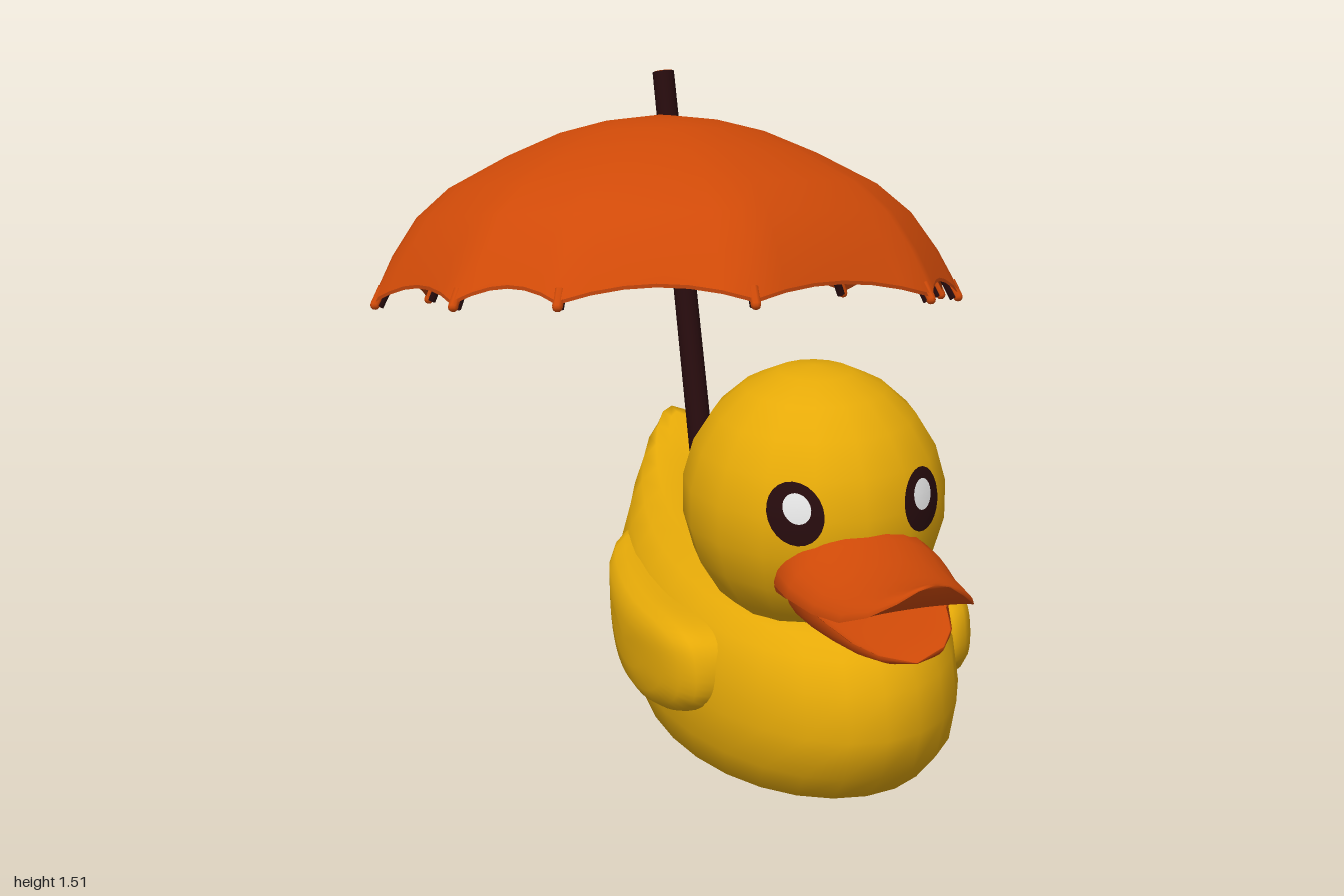
import * as THREE from 'three';
import { mergeVertices } from 'three/addons/utils/BufferGeometryUtils.js';

const V = (x, y, z) => new THREE.Vector3(x, y, z);

const mat = (name, color, side = THREE.FrontSide) => {
  const m = new THREE.MeshStandardMaterial({ color, side });
  m.name = name;
  return m;
};

// Smooth skin over rows of points; each row is a closed loop
function skin(rows) {
  const n = rows[0].length, index = [];
  for (let i = 0; i < rows.length - 1; i++) {
    for (let j = 0; j < n; j++) {
      const a = i * n + j, b = i * n + (j + 1) % n, c = a + n, d = b + n;
      index.push(a, b, d, a, d, c);
    }
  }
  let g = new THREE.BufferGeometry().setFromPoints(rows.flat());
  g.setIndex(index);
  g = mergeVertices(g, 1e-5);
  g.computeVertexNormals();
  return g;
}

export function createModel() {
  const yellow = mat('duck yellow', 0xe6aa08, THREE.DoubleSide);
  const orange = mat('orange', 0xd04a08, THREE.DoubleSide);
  const rust = mat('shaded rust', 0xaa3c0a, THREE.DoubleSide);
  const dark = mat('dark brown', 0x260b0d, THREE.DoubleSide);
  const white = mat('eye white', 0xf2f2f2);
  const model = new THREE.Group();
  const add = (name, geometry, material, parent) => {
    const m = new THREE.Mesh(geometry, material);
    m.name = name;
    parent.add(m);
    return m;
  };
  const group = (name, x) => {
    const g = new THREE.Group();
    g.name = name;
    g.position.x = x;
    model.add(g);
    return g;
  };
  // the duck sits right of the parasol, its head a little nearer
  const torso = group('torso', 0.164), face = group('face', 0.14), parasol = group('parasol', 0);

  // Body: rings from the hollow base up to the back and tail [zFront, yFront, zBack, yBack, halfWidth, taper]
  const rings = [
    [0.04, 0.07, 0.03, 0.07, 0, 0.1], [0.30, 0.07, -0.24, 0.07, 0.16, 0.1], [0.38, 0.05, -0.31, 0.05, 0.205, 0.1],
    [0.43, 0.0, -0.36, 0.0, 0.235, 0.1], [0.52, 0, -0.42, 0, 0.265, 0.1], [0.62, 0.04, -0.5, 0.045, 0.308, 0.1],
    [0.70, 0.12, -0.58, 0.14, 0.336, 0.1], [0.73, 0.22, -0.635, 0.23, 0.345, 0.1],
    [0.71, 0.32, -0.675, 0.34, 0.332, 0.13], [0.67, 0.385, -0.70, 0.45, 0.295, 0.18],
    [0.625, 0.42, -0.72, 0.53, 0.25, 0.24], [0.55, 0.447, -0.718, 0.56, 0.19, 0.3],
    [0.42, 0.45, -0.68, 0.555, 0.12, 0.3], [0.28, 0.445, -0.56, 0.49, 0.07, 0.3],
    [0.1, 0.44, -0.36, 0.445, 0.03, 0.2], [0, 0.435, -0.01, 0.435, 0, 0],
  ];
  add('body', skin(rings.map(([zf, yf, zb, yb, w, taper]) => Array.from({ length: 28 }, (_, j) => {
    const a = j / 28 * Math.PI * 2, c = Math.cos(a), s = (1 - c) / 2;
    return V(w * Math.sin(a) * (1 + taper * c), yf + (yb - yf) * s ** 6, (zf + zb) / 2 + (zf - zb) / 2 * c);
  }))), yellow, torso);

  // Wings: domed pads, thicker in front, following the flank
  const outline = new THREE.CatmullRomCurve3([[0.43, 0.28], [0.41, 0.35], [0.35, 0.38], [0.1, 0.38],
    [-0.2, 0.375], [-0.37, 0.365], [-0.31, 0.27], [-0.16, 0.185], [0, 0.14], [0.17, 0.132], [0.32, 0.165],
    [0.41, 0.22]].map(([z, y]) => V(0, y, z)), true).getPoints(40).slice(0, -1);
  const dome = [[0.98, 0.24], [1, 0.318], [0.96, 0.35], [0.86, 0.374], [0.68, 0.39], [0.38, 0.396], [0, 0.397]];
  const wingGeometry = skin(dome.map(([s, x]) => outline.map((p) => {
    const z = 0.08 + (p.z - 0.08) * s, y = 0.265 + (p.y - 0.265) * s;
    return V(x - (z < 0.15 ? 0.42 : 0.28) * (z - 0.15) ** 2, y, z);
  })));
  for (const side of [1, -1]) {
    add(side > 0 ? 'leftWing' : 'rightWing', wingGeometry, yellow, torso).scale.x = side;
  }

  // Head
  const R = V(0.295, 0.307, 0.312), H = V(0, 0.66, 0.34);
  const head = add('head', new THREE.SphereGeometry(1, 16, 11), yellow, face);
  head.scale.copy(R);
  head.position.copy(H);

  // Thin oval patches wrapped on the head
  const patch = (x, y, rx, ry, lift) => {
    const g = new THREE.RingGeometry(0, 1, 24, 4), p = g.attributes.position;
    for (let i = 0; i < p.count; i++) {
      const u = (x + p.getX(i) * rx) / R.x, v = (y - H.y + p.getY(i) * ry) / R.y;
      const w = Math.sqrt(Math.max(0, 1 - u * u - v * v));
      p.setXYZ(i, u * R.x * lift, H.y + v * R.y * lift, H.z + w * R.z * lift);
    }
    g.computeVertexNormals();
    return g;
  };
  for (const side of [1, -1]) {
    const name = side > 0 ? 'left' : 'right';
    add(name + 'Eye', patch(side * 0.145, 0.72, 0.053, 0.067, 1.012), dark, face);
    add(name + 'EyeGlint', patch(side * 0.143, 0.733, 0.026, 0.032, 1.022), white, face);
  }
  add('mouth', patch(0, 0.552, 0.178, 0.06, 1.02), rust, face);
  add('chin', patch(0, 0.472, 0.08, 0.03, 1.02), orange, face);

  // Beak halves: arched sections [z, halfWidth, edgeY, middleY]; the mouth side bows by a share of the arch
  const beak = (sections, bow, power) => skin(sections.map(([z, w, e, m]) => Array.from({ length: 24 }, (_, k) => {
    const a = k / 12 * Math.PI, s = Math.abs(Math.sin(a)) ** power;
    return V(w * Math.cos(a), e + (m - e) * s * (k <= 12 ? 1 : bow), z);
  })));
  add('upperBeak', beak([[0.5, 0.16, 0.55, 0.69], [0.58, 0.185, 0.555, 0.685], [0.66, 0.19, 0.557, 0.664],
    [0.76, 0.172, 0.556, 0.647], [0.86, 0.152, 0.572, 0.65], [0.93, 0.12, 0.605, 0.662],
    [0.975, 0.075, 0.645, 0.68], [0.993, 0.035, 0.675, 0.688], [1, 0, 0.687, 0.687]], 0.12, 1.1), orange, face);
  add('lowerBeak', beak([[0.48, 0.13, 0.56, 0.45], [0.6, 0.165, 0.556, 0.447], [0.68, 0.16, 0.547, 0.452],
    [0.76, 0.143, 0.534, 0.458], [0.84, 0.115, 0.515, 0.467], [0.89, 0.075, 0.5, 0.473],
    [0.92, 0, 0.485, 0.483]], 0.15, 0.8), orange, face);

  // Parasol: tilted dome with unevenly spread ribs
  const C = V(0, 0.984, -0.292), ux = V(1, -0.07, 0).normalize(), uz = V(0, 0.233, 1).normalize();
  const up = uz.clone().cross(ux).normalize();
  const angles = [5, 26, 49, 92, 127, 149, 179, 205, 230, 267, 305, 330].map(THREE.MathUtils.degToRad);
  const profile = [[0, 0.433], [0.14, 0.417], [0.25, 0.389], [0.377, 0.335], [0.52, 0.26], [0.602, 0.19],
    [0.665, 0.1], [0.718, 0]];
  const at = (a, r, h) => C.clone().addScaledVector(ux, r * Math.cos(a))
    .addScaledVector(uz, r * Math.sin(a)).addScaledVector(up, h);
  const STEPS = 6, last = profile.length - 1;
  // round near the crown, straight panels towards the hem
  const rows = profile.map(([r, h], i) => angles.flatMap((a, n) => {
    const b = angles[(n + 1) % angles.length] + (n + 1 === angles.length ? Math.PI * 2 : 0);
    const p = at(a, r, h), q = at(b, r, h);
    return Array.from({ length: STEPS }, (_, k) => {
      const s = k / STEPS;
      return at(a + (b - a) * s, r, h).lerp(p.clone().lerp(q, s), (i / last) ** 2);
    });
  }));
  // scalloped hem between rib tips
  rows[last].forEach((p, j) => {
    const s = (j % STEPS) / STEPS;
    p.lerp(rows[last - 1][j], 1.4 * s * (1 - s));
  });
  add('canopy', skin(rows), orange, parasol);
  const lining = rows.map(row => row.map(p => p.clone().addScaledVector(up, -0.008)));
  add('liningCrown', skin(lining.slice(0, 4)), dark, parasol);
  add('lining', skin(lining.slice(3)), rust, parasol);

  // Ribs under the canopy, each with a small tip
  angles.forEach((a) => {
    const path = new THREE.CatmullRomCurve3(profile.slice(1).map(([r, h]) => at(a, r - 0.014, h - 0.016)));
    add('rib', new THREE.TubeGeometry(path, 14, 0.011, 6), dark, parasol);
    const end = new THREE.LineCurve3(at(a, 0.695, 0.025), at(a, 0.713, -0.012));
    add('ribTip', new THREE.TubeGeometry(end, 1, 0.012, 8), orange, parasol);
    const cap = add('ribTipEnd', new THREE.SphereGeometry(0.012, 8, 6), orange, parasol);
    cap.position.copy(at(a, 0.713, -0.012));
  });

  // Pole with a rusty end cap
  const low = V(0.046, 0.39, -0.075), high = V(0.046, 1.502, -0.425);
  const axis = high.clone().sub(low);
  const pole = add('pole', new THREE.CylinderGeometry(0.026, 0.03, axis.length(), 14), dark, parasol);
  pole.position.copy(low).add(high).multiplyScalar(0.5);
  pole.quaternion.setFromUnitVectors(V(0, 1, 0), axis.normalize());
  const cap = add('poleCap', new THREE.CylinderGeometry(0.022, 0.022, 0.003, 14), rust, parasol);
  cap.position.copy(high);
  cap.quaternion.copy(pole.quaternion);

  return model;
}
